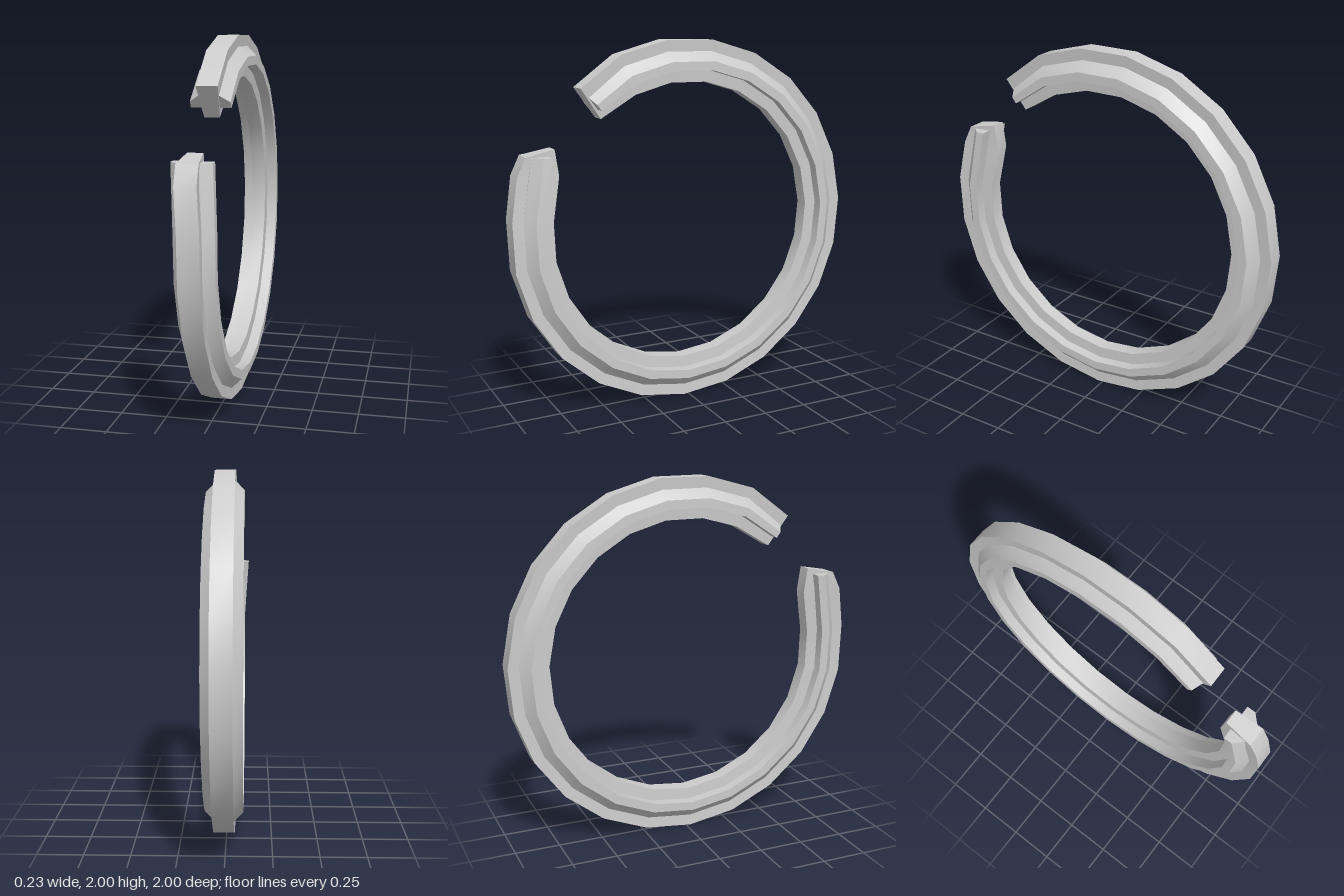
import * as THREE from 'three';
import { toCreasedNormals } from 'three/addons/utils/BufferGeometryUtils.js';

const CENTER_Y = 1.004, OUTER = 1.004, INNER = 0.778;
const START = 51.2, STEP = 15.73, COUNT = 21;

// A station is a radial line: outer and inner end as [z, y], plus a sideways offset x
const station = (outer, inner, x = 0.008) => ({ outer, inner, x });

function ringStation(degrees) {
  const a = THREE.MathUtils.degToRad(degrees);
  const at = (r) => [r * Math.cos(a), CENTER_Y + r * Math.sin(a)];
  return station(at(OUTER), at(INNER));
}

// Sweep a convex profile of [x, t] points (t: 0 inner, 1 outer) through the stations
function sweep(name, profile, stations, material) {
  const positions = [], index = [];
  const n = profile.length, last = (stations.length - 1) * n;
  for (const { outer, inner, x } of stations) {
    for (const [px, t] of profile) {
      positions.push(
        px + x,
        THREE.MathUtils.lerp(inner[1], outer[1], t),
        THREE.MathUtils.lerp(inner[0], outer[0], t),
      );
    }
  }
  for (let i = 0; i < stations.length - 1; i++) {
    for (let j = 0; j < n; j++) {
      const a = i * n + j, b = i * n + (j + 1) % n;
      index.push(a, a + n, b, b, a + n, b + n);
    }
  }
  // End caps
  for (let j = 1; j < n - 1; j++) {
    index.push(0, j, j + 1, last, last + j + 1, last + j);
  }
  const geometry = new THREE.BufferGeometry();
  geometry.setAttribute('position', new THREE.Float32BufferAttribute(positions, 3));
  geometry.setIndex(index);
  const mesh = new THREE.Mesh(toCreasedNormals(geometry, THREE.MathUtils.degToRad(28)), material);
  mesh.name = name;
  return mesh;
}

export function createModel() {
  const group = new THREE.Group();
  group.name = 'openRing';
  const material = new THREE.MeshStandardMaterial({ color: 0xcccccc });

  // Regular stations around the ring; the first is replaced by each part's own end
  const ring = [];
  for (let i = 1; i < COUNT; i++) ring.push(ringStation(START + i * STEP));

  // Core band, slightly narrower on the inside, bent sideways at its lower end
  group.add(sweep('coreBand',
    [[-0.04, 0], [0.04, 0], [0.055, 1], [-0.055, 1]],
    [
      station([0.615, 1.765], [0.503, 1.604]),
      ...ring,
      station([0.96, 1.33], [0.73, 1.32], -0.013),
      station([0.91, 1.43], [0.75, 1.46], -0.015),
    ], material));

  // Side ridges, bevelled towards the outside and stepped on the inside
  group.add(sweep('sideRidges',
    [[-0.1025, 0.285], [0.1025, 0.285], [0.1025, 0.5], [0.051, 0.73], [-0.051, 0.73], [-0.1025, 0.5]],
    [
      station([0.6, 1.755], [0.49, 1.613]),
      ...ring,
      station([0.939, 1.425], [0.721, 1.425], -0.014),
    ], material));

  return group;
}
